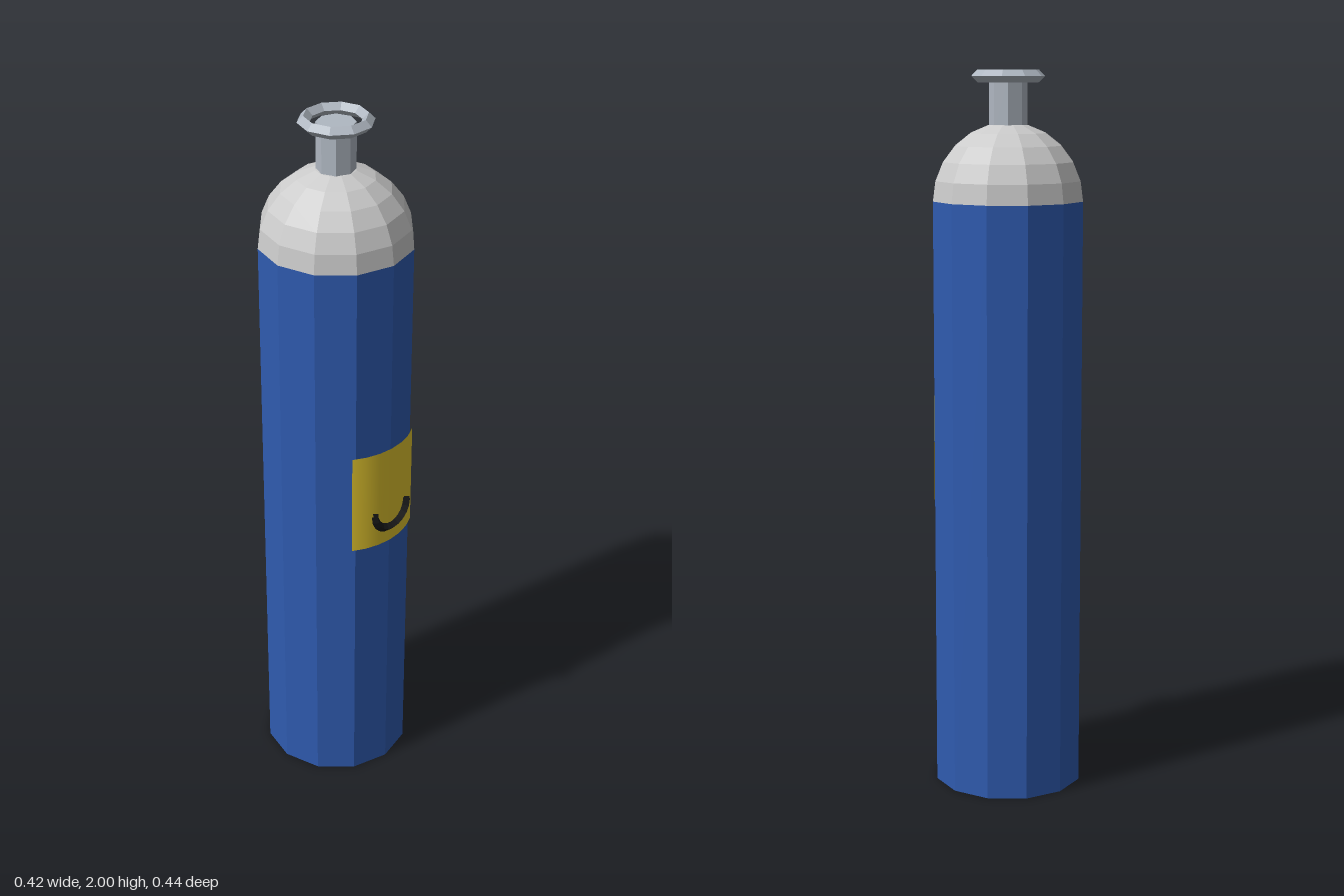
import * as THREE from 'three';

const AXIS_Z = -0.01; // tank axis, offset so the whole model is centred in depth
const RADIUS = 0.21;
const SHOULDER_Y = 1.65;

export function createModel() {
  const model = new THREE.Group();
  model.name = 'gasCylinder';

  const flat = (color, extra = {}) =>
    new THREE.MeshStandardMaterial({ color, flatShading: true, ...extra });

  const add = (name, geometry, material, y, z = AXIS_Z) => {
    const mesh = new THREE.Mesh(geometry, material);
    mesh.name = name;
    mesh.position.set(0, y, z);
    model.add(mesh);
    return mesh;
  };

  const metal = flat(0xb0b8c2);

  // Twelve-sided tank body
  add('tankBody', new THREE.CylinderGeometry(RADIUS, RADIUS, SHOULDER_Y, 12),
    flat(0x2f5bb0), SHOULDER_Y / 2);

  // Domed shoulder
  add('dome', new THREE.SphereGeometry(RADIUS, 12, 6, 0, Math.PI * 2, 0, Math.PI / 2),
    flat(0xe8e8e8), SHOULDER_Y);

  // Valve neck, sunk slightly into the dome
  add('valveNeck', new THREE.CylinderGeometry(0.0525, 0.0525, 0.14, 8), metal, 1.91);

  // Hand wheel ring around the neck top
  const wheel = new THREE.TorusGeometry(0.084, 0.0168, 4, 10);
  wheel.rotateX(Math.PI / 2);
  add('handWheel', wheel, metal, 1.983);

  // Curved label wrapped on the front
  const halfAngle = 0.575;
  add('label',
    new THREE.CylinderGeometry(0.2142, 0.2142, 0.3, 6, 1, true, -halfAngle, halfAngle * 2),
    new THREE.MeshStandardMaterial({ color: 0xe2c52f, side: THREE.DoubleSide }), 0.95);

  // Dark half-ring mark on the label, opening upwards
  const mark = new THREE.TorusGeometry(0.0625, 0.0125, 4, 10, Math.PI);
  mark.rotateZ(Math.PI);
  add('labelMark', mark, flat(0x1a1a1a, { side: THREE.DoubleSide }), 0.91, 0.205);

  return model;
}
